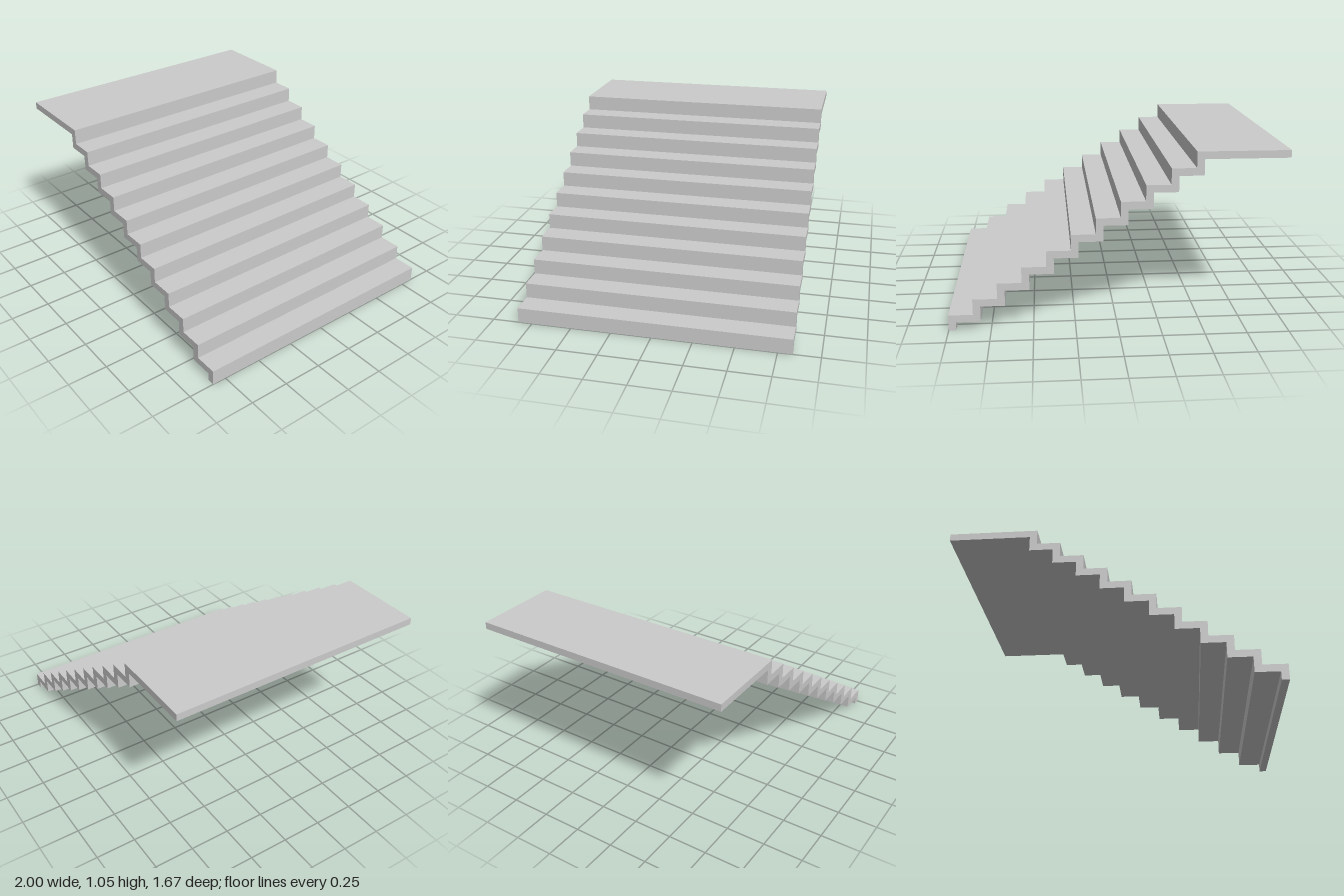
import * as THREE from 'three';

export function createModel() {
  const group = new THREE.Group();
  const levels = 11, rise = 1.055 / levels, run = 0.1453;
  const thick = 0.045, width = 1.674, landingEnd = -1;

  // Upper line of the zigzag: risers and treads from the foot to the landing
  const upper = [], lower = [];
  for (let i = 0; i < levels; i++) {
    const x = 1 - i * run, y = i * rise;
    upper.push([x, y], [x, y + rise]);
    // Underside, set back by the slab thickness
    lower.push([x - thick, i ? y - thick : 0], [x - thick, y + rise - thick]);
  }
  upper.push([landingEnd, levels * rise]);
  lower.push([landingEnd, levels * rise - thick]);

  // One folded slab, extruded across the width of the flight
  const outline = [...upper, ...lower.reverse()].map(([x, y]) => new THREE.Vector2(x, y));
  const geometry = new THREE.ExtrudeGeometry(new THREE.Shape(outline), { depth: width, bevelEnabled: false });
  geometry.translate(0, 0, -width / 2);

  const stairs = new THREE.Mesh(geometry, new THREE.MeshStandardMaterial({ color: 0xcccccc, flatShading: true }));
  stairs.name = 'stairsWithLanding';
  group.add(stairs);
  group.name = 'staircase';
  return group;
}
